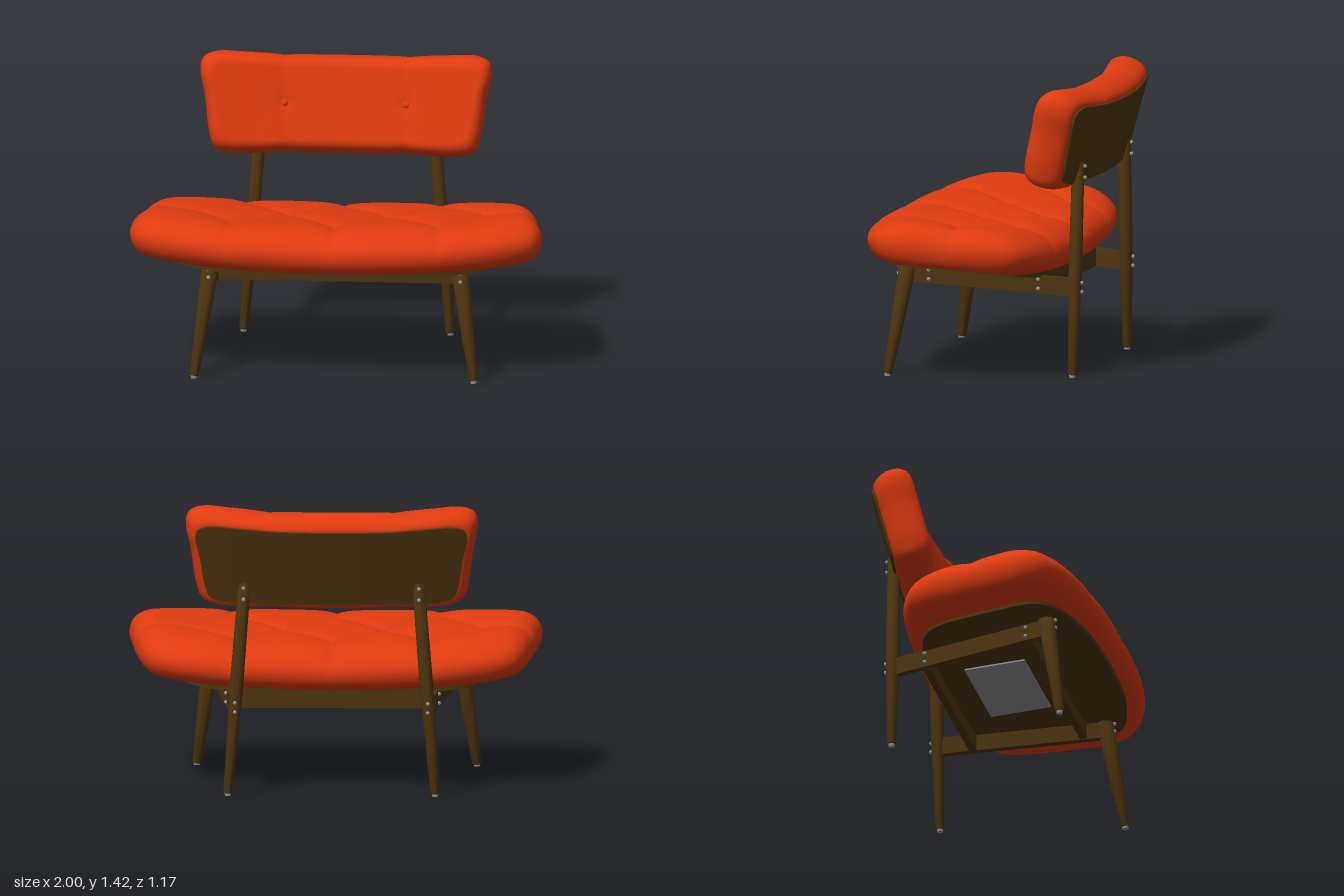
import * as THREE from 'three';
import { mergeVertices, toCreasedNormals } from 'three/addons/utils/BufferGeometryUtils.js';

const V = (x, y, z = 0) => new THREE.Vector3(x, y, z);

// Closed smooth outline from its right half, counterclockwise from bottom centre
function outline(half, n) {
  const left = half.slice(1, -1).reverse().map(([x, y]) => [-x, y]);
  const pts = [...half, ...left].map(([x, y]) => V(x, y));
  return new THREE.CatmullRomCurve3(pts, true).getSpacedPoints(n).slice(0, n);
}

// Skin of scaled outline rings [scaleA, scaleB, level], each point set by place()
function shell(line, rings, place) {
  const pos = [], idx = [], n = line.length;
  rings.forEach(([sa, sb, v]) => line.forEach((p) => pos.push(...place(p.x * sa, p.y * sb, v))));
  for (let i = 0; i < rings.length - 1; i++) {
    for (let j = 0; j < n; j++) {
      const k = (j + 1) % n, a = i * n, b = a + n;
      idx.push(a + j, a + k, b + k, a + j, b + k, b + j);
    }
  }
  let geo = new THREE.BufferGeometry();
  geo.setAttribute('position', new THREE.Float32BufferAttribute(pos, 3));
  geo.setIndex(idx);
  geo = mergeVertices(geo, 1e-5);
  geo.computeVertexNormals();
  return geo;
}

// Rings that fill a flat area between the centre and scale (sa, sb)
const fill = (sa, sb, v, n) => Array.from({ length: n }, (_, i) => [sa * i / n, sb * i / n, v]);

// Padded edge: back face, rounded rim, front face
function padRings(ka, kb, back, front, nose, n) {
  const rim = [];
  for (let i = -8; i <= 10; i++) {
    const t = (i < 0 ? i / 8 : i / 10) * Math.PI / 2;
    const d = (i < 0 ? back : front) * (1 - Math.cos(t));
    rim.push([1 - ka * d, 1 - kb * d, nose + (i < 0 ? nose : 1 - nose) * Math.sin(t)]);
  }
  const [a0, b0] = rim[0], [a1, b1] = rim[rim.length - 1];
  return [...fill(a0, b0, 0, 8), ...rim, ...fill(a1, b1, 1, n).reverse()];
}

function segmentDistance(x, y, [ax, ay, bx, by]) {
  const dx = bx - ax, dy = by - ay;
  const t = THREE.MathUtils.clamp(((x - ax) * dx + (y - ay) * dy) / (dx * dx + dy * dy), 0, 1);
  return Math.hypot(x - ax - t * dx, y - ay - t * dy);
}

export function createModel() {
  const root = new THREE.Group();
  const mat = (name, color) => Object.assign(new THREE.MeshStandardMaterial({ color }), { name });
  const fabric = mat('orange red fabric', 0xdf3b10);
  const wood = mat('dark wood', 0x4d3510);
  const steel = mat('grey metal', 0x949496);
  const add = (name, geo, material, parent = root) => {
    const m = new THREE.Mesh(geo, material);
    m.name = name;
    parent.add(m);
    return m;
  };

  // Seat cushion with diamond tufting
  const zc = 0.1;
  const seatLine = outline([[0, 0.578], [0.25, 0.573], [0.5, 0.553], [0.75, 0.503], [0.9, 0.445],
    [0.972, 0.385], [1, 0.29], [0.985, 0.15], [0.963, -0.02], [0.93, -0.18], [0.885, -0.265],
    [0.8, -0.32], [0.68, -0.355], [0.4, -0.382], [0, -0.392]], 200);
  seatLine.forEach((p) => { p.y = -(zc - p.y); });
  const tufts = [[0, 0.33], [0, -0.18]], creases = [[0, 0.33, 0, 0.6], [0, -0.18, 0, -0.4]];
  for (const s of [-1, 1]) {
    tufts.push([0.5 * s, 0.31], [0.46 * s, -0.18], [0.24 * s, 0.06], [0.715 * s, 0.05]);
    creases.push([0, 0.33, 0.24 * s, 0.06], [0, -0.18, 0.24 * s, 0.06],
      [0.24 * s, 0.06, 0.5 * s, 0.31], [0.24 * s, 0.06, 0.46 * s, -0.18],
      [0.5 * s, 0.31, 0.715 * s, 0.05], [0.46 * s, -0.18, 0.715 * s, 0.05],
      [0.5 * s, 0.31, 0.52 * s, 0.6], [0.46 * s, -0.18, 0.5 * s, -0.4], [0.715 * s, 0.05, s, 0.03]);
  }
  const seatBottom = (x, z) => 0.51 + 0.07 * z + 0.06 * x * x;
  const seatTop = (x, z) => {
    const line = Math.min(...creases.map((c) => segmentDistance(x, z, c)));
    const tuft = Math.min(...tufts.map(([a, b]) => Math.hypot(x - a, z - b)));
    return 0.74 + 0.07 * z + 0.04 * x * x - 0.02 * Math.exp(-line / 0.045) - 0.012 * Math.exp(-tuft / 0.04);
  };
  const seatPlace = (x, b, v) => {
    const z = b + zc, low = seatBottom(x, z);
    return [x, low + (seatTop(x, z) - low) * v, z];
  };
  add('seatCushion', shell(seatLine, padRings(0.65, 2.3, 0.1, 0.2, 0.45, 44), seatPlace), fabric);

  const buttonGeo = new THREE.SphereGeometry(0.017, 14, 10);
  for (const [x, z] of tufts) {
    const b = add('seatButton', buttonGeo, fabric);
    b.position.set(x, seatTop(x, z) + 0.003, z);
    b.scale.y = 0.6;
  }

  // Bent seat board below the cushion
  const boardRings = (a, b, lo, hi) => [...fill(a, b, lo, 8), [a, b, lo], [a, b, hi], ...fill(a, b, hi, 8).reverse()];
  add('seatBoard', toCreasedNormals(shell(seatLine, boardRings(0.79, 0.87, -0.016, 0.02),
    (x, b, v) => [x, seatBottom(x, b + zc) + v, b + zc]), 0.7), wood);
  const plate = add('undersidePlate', new THREE.BoxGeometry(0.55, 0.008, 0.3), steel);
  plate.position.set(0, 0.492, 0);
  plate.rotation.x = -0.07;

  // Leaning, curved backrest
  const back = new THREE.Group();
  back.name = 'backrest';
  back.position.set(0, 1.13, -0.53);
  back.rotation.x = -0.27;
  root.add(back);
  const backLine = outline([[0, -0.24], [0.3, -0.24], [0.57, -0.245], [0.635, -0.22], [0.66, -0.15],
    [0.685, 0.03], [0.708, 0.16], [0.695, 0.215], [0.635, 0.245], [0.5, 0.245], [0.3, 0.238], [0, 0.238]], 200);
  const bend = (x) => 0.16 * x * x;
  const backPlace = (x, y, v) => {
    const seam = Math.exp(-Math.abs(Math.abs(x) - 0.297 - 0.03 * y) / 0.04);
    const tuft = Math.exp(-Math.hypot(Math.abs(x) - 0.295, y) / 0.04);
    return [x, y * (1 - 0.025 * seam), 0.195 * v + bend(x) - v * (0.008 * seam + 0.012 * tuft)];
  };
  add('backCushion', shell(backLine, padRings(1.2, 3.3, 0.06, 0.075, 0.5, 30), backPlace), fabric, back);
  add('backBoard', toCreasedNormals(shell(backLine, boardRings(0.93, 0.8, -0.012, 0.02),
    (x, y, v) => [x, y, bend(x) + v]), 0.7), wood, back);
  for (const s of [-1, 1]) {
    const b = add('backButton', buttonGeo, fabric, back);
    b.position.set(0.295 * s, 0, 0.195 + bend(0.295) - 0.016);
    b.scale.z = 0.6;
  }

  // Turned leg between two points with foot, middle and top radii
  function leg(name, from, to, r0, rm, r1) {
    const dir = to.clone().sub(from), len = dir.length();
    const profile = [[0, 0], [r0 * 0.85, 0], [r0, 0.008], [rm, len * 0.5], [r1, len - 0.02],
      [r1 * 0.8, len - 0.005], [0, len]].map(([r, y]) => new THREE.Vector2(r, y));
    const m = add(name, toCreasedNormals(new THREE.LatheGeometry(profile, 24), 0.6), wood);
    m.position.copy(from);
    m.quaternion.setFromUnitVectors(V(0, 1, 0), dir.normalize());
    const foot = add('footGlide', new THREE.CylinderGeometry(0.017, 0.015, 0.02, 16), steel);
    foot.position.set(from.x, 0.01, from.z);
  }
  const screwGeo = new THREE.SphereGeometry(0.01, 10, 8);
  const screw = (x, y, z) => add('screw', screwGeo, steel).position.set(x, y, z);

  // Straight rail between two points
  function rail(name, from, to, height, thick) {
    const m = add(name, new THREE.BoxGeometry(thick, height, from.distanceTo(to)), wood);
    m.position.copy(from).lerp(to, 0.5);
    m.lookAt(to);
  }

  for (const s of [-1, 1]) {
    leg('frontLeg', V(0.679 * s, 0.012, 0.422), V(0.602 * s, 0.565, 0.335), 0.023, 0.034, 0.042);
    leg('backLeg', V(0.502 * s, 0.012, -0.458), V(0.42 * s, 1.06, -0.466), 0.023, 0.033, 0.03);
    rail('sideRail', V(0.6 * s, 0.5, 0.32), V(0.468 * s, 0.437, -0.45), 0.088, 0.035);
    for (const y of [0.495, 0.535]) screw(0.612 * s, y, 0.384);
    for (const y of [0.47, 0.515]) screw(0.606 * s, y, 0.235);
    for (const y of [0.43, 0.475]) screw(0.516 * s, y, -0.29);
    for (const y of [0.415, 0.46]) screw(0.468 * s, y, -0.495);
    for (const y of [0.97, 1.025]) screw(0.425 * s, y, -0.5);
  }
  rail('frontRail', V(-0.58, 0.495, 0.24), V(0.58, 0.495, 0.24), 0.085, 0.035);
  rail('backRail', V(-0.49, 0.448, -0.29), V(0.49, 0.448, -0.29), 0.085, 0.035);
  return root;
}
